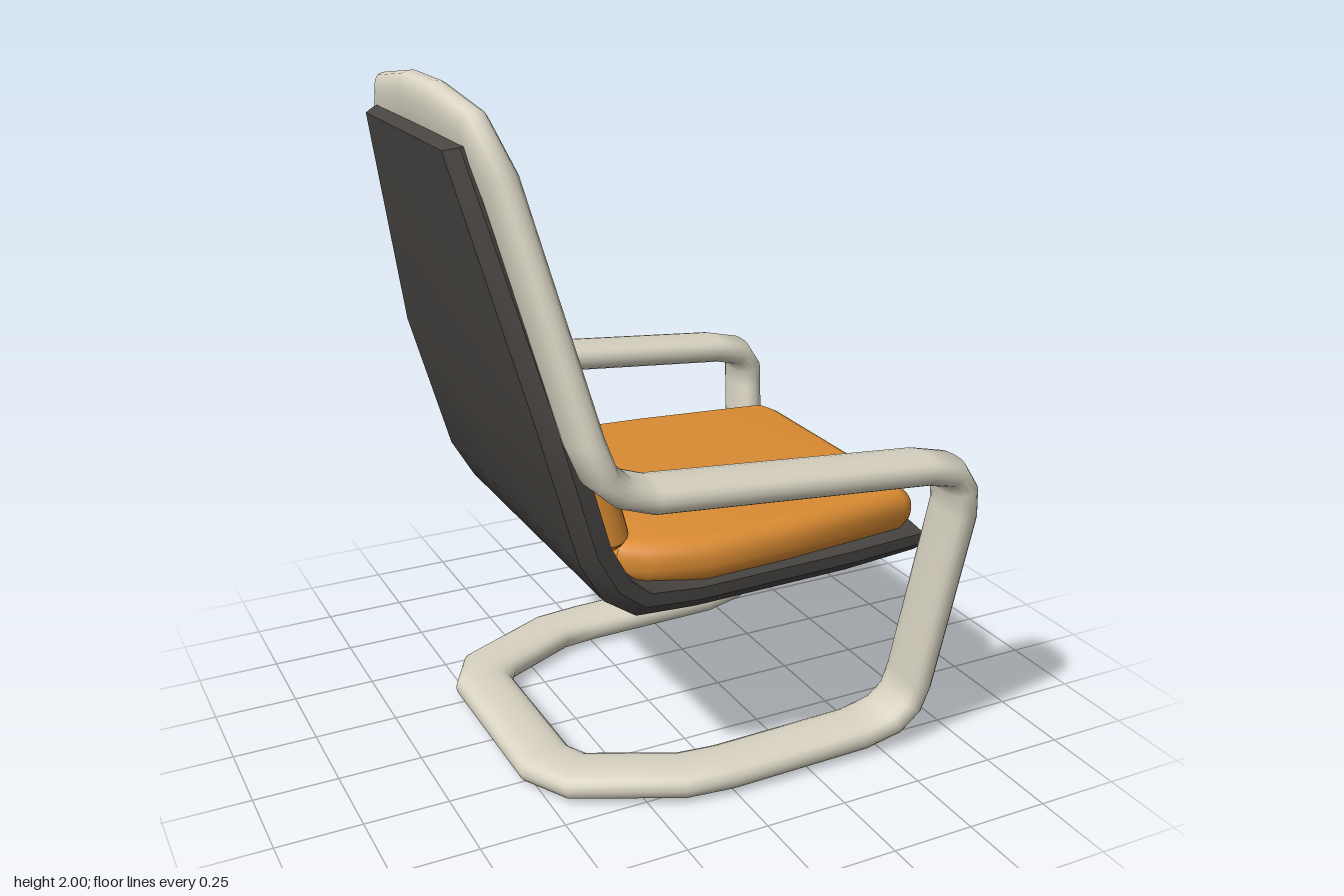
import * as THREE from 'three';
import { toCreasedNormals, mergeVertices } from 'three/addons/utils/BufferGeometryUtils.js';

const material = (name, color) => {
  const m = new THREE.MeshStandardMaterial({ color });
  m.name = name;
  return m;
};

// Skin a list of equal-length rings (Vector3), closed into a loop or capped at both ends
function loft(rings, closed) {
  const n = rings[0].length, count = rings.length, index = [];
  const id = (i, j) => (i % count) * n + (j % n);
  for (let i = 0; i < (closed ? count : count - 1); i++)
    for (let j = 0; j < n; j++) {
      const a = id(i, j), b = id(i, j + 1), c = id(i + 1, j + 1), d = id(i + 1, j);
      index.push(a, b, d, b, c, d);
    }
  if (!closed)
    for (let j = 1; j < n - 1; j++) {
      index.push(0, j + 1, j);
      index.push(id(count - 1, 0), id(count - 1, j), id(count - 1, j + 1));
    }
  const g = new THREE.BufferGeometry().setFromPoints(rings.flat());
  g.setIndex(index);
  g.computeVertexNormals();
  return g;
}

// Flattened tube bent into one endless loop: base, legs, arms and back hoop
function frameGeometry() {
  // x, y, z of the centre line, then the thin direction (nx, ny)
  const half = [
    [-0.455, 0.045, 0, 0, 1], [-0.455, 0.045, 0.25, 0, 1], [-0.40, 0.045, 0.35, 0, 1],
    [-0.13, 0.045, 0.48, 0, 1], [0, 0.045, 0.495, 0, 1], [0.44, 0.052, 0.495, -0.05, 1],
    [0.55, 0.075, 0.496, -0.38, 0.92], [0.605, 0.125, 0.5, -0.85, 0.5],
    [0.628, 0.2, 0.506, -1, 0.08], [0.667, 0.78, 0.61, -1, 0.06],
    [0.664, 0.85, 0.61, -1, -0.15], [0.63, 0.903, 0.61, -0.7, -0.7],
    [0.54, 0.925, 0.61, -0.15, -1], [-0.3, 1.0, 0.61, -0.12, -1],
    [-0.385, 1.03, 0.61, -0.45, -0.9], [-0.44, 1.08, 0.61, -0.85, -0.5],
    [-0.475, 1.17, 0.605, -0.97, -0.2], [-0.602, 1.78, 0.42, -0.977, -0.21],
    [-0.625, 1.88, 0.32, -0.977, -0.21], [-0.632, 1.912, 0.1, -0.977, -0.21],
    [-0.632, 1.912, 0, -0.977, -0.21],
  ];
  const mirrored = half.slice(1, -1).reverse().map(([x, y, z, nx, ny]) => [x, y, -z, nx, ny]);
  const path = [...half, ...mirrored];
  const pts = path.map(p => new THREE.Vector3(p[0], p[1], p[2]));
  const sides = 20, thick = 0.043, wide = 0.087;
  const round = v => Math.sign(v) * Math.abs(v) ** 0.8;
  const rings = path.map((p, i) => {
    const c = pts[i];
    const t1 = c.clone().sub(pts[(i + pts.length - 1) % pts.length]).normalize();
    const t2 = pts[(i + 1) % pts.length].clone().sub(c).normalize();
    const T = t1.clone().add(t2).normalize(), turn = t2.clone().sub(t1);
    const N = new THREE.Vector3(p[3], p[4], 0);
    N.addScaledVector(T, -N.dot(T)).normalize();
    const B = T.clone().cross(N);
    const miter = axis => 1 / Math.sqrt(1 - (turn.dot(axis) / 2) ** 2);
    const h = thick * miter(N), w = wide * miter(B);
    return Array.from({ length: sides }, (_, j) => {
      const a = (j / sides) * Math.PI * 2;
      return c.clone().addScaledVector(N, h * round(Math.cos(a))).addScaledVector(B, w * round(Math.sin(a)));
    });
  });
  return loft(rings, true);
}

// One bent shell running down the back and forward under the seat
function shellGeometry() {
  // outer x, y, inner x, y, half width
  const stations = [
    [-0.71, 1.86, -0.64, 1.88, 0.35], [-0.565, 1.2, -0.48, 1.22, 0.54],
    [-0.445, 0.78, -0.37, 0.83, 0.535], [-0.375, 0.66, -0.31, 0.72, 0.53],
    [-0.28, 0.595, -0.25, 0.67, 0.53], [-0.1, 0.585, -0.1, 0.655, 0.53],
    [0.4, 0.58, 0.4, 0.65, 0.51], [0.655, 0.585, 0.66, 0.65, 0.49],
    [0.68, 0.595, 0.69, 0.645, 0.34],
  ];
  const V = (x, y, z) => new THREE.Vector3(x, y, z);
  const rings = stations.map(([ox, oy, ix, iy, w]) => {
    const mx = (ox + ix) / 2, my = (oy + iy) / 2, wo = w - 0.035;
    return [V(ox, oy, wo), V(ox, oy, -wo), V(mx, my, -w), V(ix, iy, -w), V(ix, iy, w), V(mx, my, w)];
  });
  return toCreasedNormals(loft(rings, false), 0.6);
}

// Soft pad: half outline [along, half width], laid on a plane given by origin and direction
function cushionGeometry(half, thickness, bevel, origin, along) {
  const right = half.map(([u, w]) => new THREE.Vector2(u, -w));
  const left = half.map(([u, w]) => new THREE.Vector2(u, w)).reverse();
  const lift = Math.min(bevel, thickness * 0.45);
  let g = new THREE.ExtrudeGeometry(new THREE.Shape([...right, ...left]), {
    depth: thickness - 2 * lift, bevelThickness: lift, bevelSize: bevel,
    bevelOffset: -bevel, bevelSegments: 5, steps: 1,
  });
  g.translate(0, 0, lift);
  const X = along.clone().normalize();
  const Z = new THREE.Vector3(-X.y, X.x, 0);
  if (Z.x < 0 && X.y > 0) Z.negate(); // pads on the back face forwards
  const Y = Z.clone().cross(X);
  g.applyMatrix4(new THREE.Matrix4().makeBasis(X, Y, Z).setPosition(origin));
  g.deleteAttribute('uv');
  g.deleteAttribute('normal');
  g = mergeVertices(g, 1e-4);
  return toCreasedNormals(g, 0.7);
}

export function createModel() {
  const model = new THREE.Group();
  model.name = 'loungeChair';
  const cream = material('creamFrame', 0xd8d3c2);
  const charcoal = material('charcoalShell', 0x484542);
  const orange = material('orangeUpholstery', 0xdb8c33);
  const add = (name, geometry, mat) => {
    const mesh = new THREE.Mesh(geometry, mat);
    mesh.name = name;
    model.add(mesh);
  };

  add('tubularFrame', frameGeometry(), cream);
  add('seatShell', shellGeometry(), charcoal);

  // Seat pad
  add('seatCushion', cushionGeometry(
    [[-0.3, 0.41], [-0.23, 0.46], [-0.06, 0.51], [0.2, 0.495], [0.62, 0.45], [0.66, 0.42], [0.675, 0.36]],
    0.13, 0.055, new THREE.Vector3(0, 0.643, 0), new THREE.Vector3(1, -0.01, 0)), orange);

  // Back and head pads share the sloping plane of the shell
  const backOrigin = new THREE.Vector3(-0.375, 0.83, 0);
  const backSlope = new THREE.Vector3(-0.25, 0.968, 0);
  add('backCushion', cushionGeometry(
    [[-0.075, 0.43], [-0.04, 0.475], [0.25, 0.465], [0.75, 0.35], [0.785, 0.315]],
    0.095, 0.045, backOrigin, backSlope), orange);
  add('headCushion', cushionGeometry(
    [[0.805, 0.31], [0.83, 0.325], [0.95, 0.285], [0.985, 0.24]],
    0.095, 0.04, backOrigin, backSlope), orange);

  return model;
}
